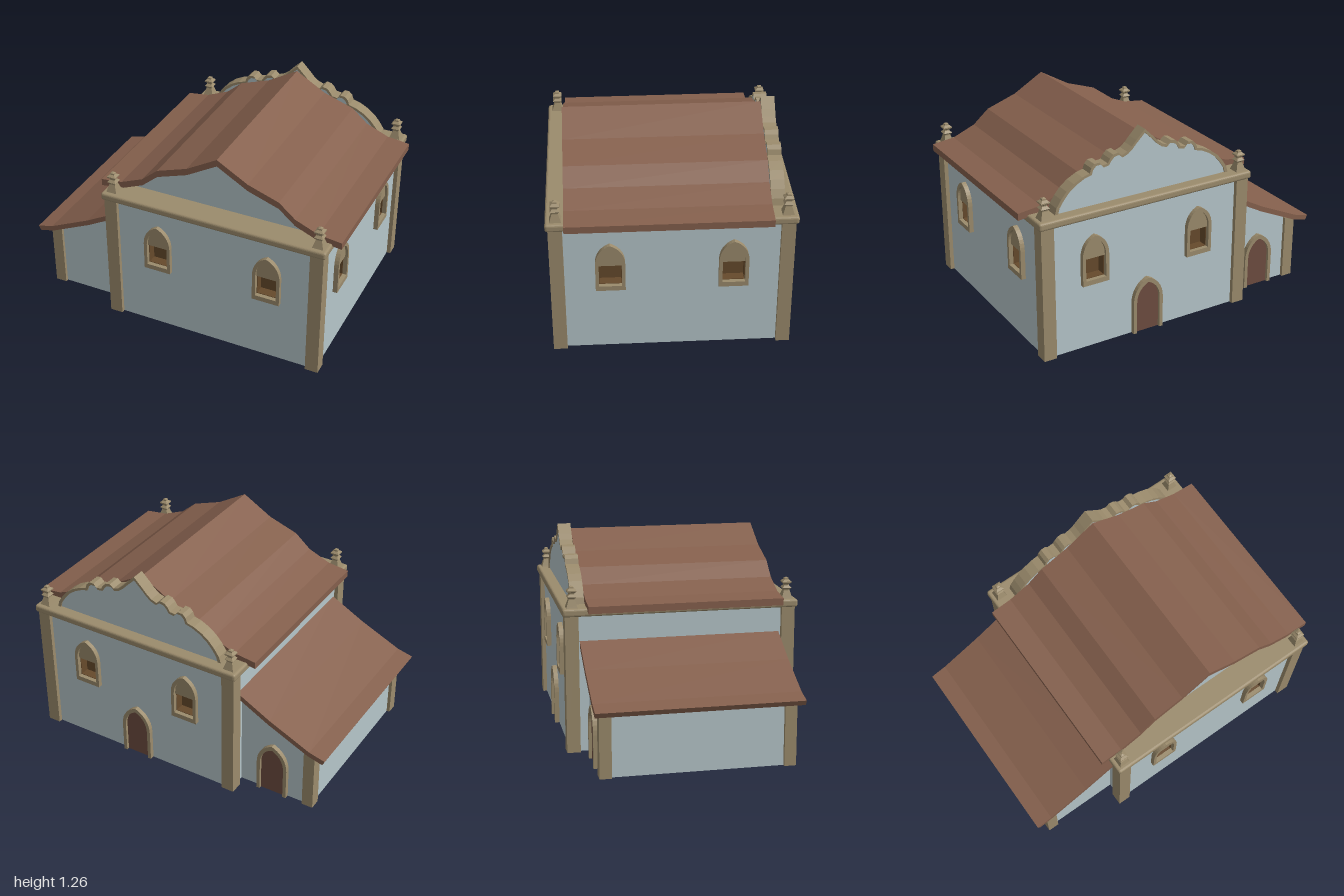
import * as THREE from 'three';
import { RoundedBoxGeometry } from 'three/addons/geometries/RoundedBoxGeometry.js';

const mat = (color) => new THREE.MeshStandardMaterial({ color, flatShading: true });
const WALL = mat(0xb6c6ca), STONE = mat(0x9b8b6c), ROOF = mat(0x85604d);
const WOOD = mat(0x664a2c), DOOR = mat(0x6e4c40);
const CX = 0.24; // centre line of the main building
const EDGE = 0.665, HALF = 0.665; // wall planes, half depth and half width

function add(parent, name, geometry, material, x = 0, y = 0, z = 0) {
  const mesh = new THREE.Mesh(geometry, material);
  mesh.name = name;
  mesh.position.set(x, y, z);
  parent.add(mesh);
  return mesh;
}

const toShape = (pts) => new THREE.Shape(pts.map(([x, y]) => new THREE.Vector2(x, y)));

// Extrusion running from z0 to z1
function extrude(shape, z0, z1) {
  return new THREE.ExtrudeGeometry(shape, { depth: z1 - z0, bevelEnabled: false }).translate(0, 0, z0);
}

const rect = (x0, y0, x1, y1) => [[x0, y0], [x1, y0], [x1, y1], [x0, y1]];

// Slightly pointed arch outline, from the right foot over the apex to the left foot
function archPoints(hw, y0, spring, apex) {
  const h = apex - spring;
  const curve = new THREE.CubicBezierCurve(
    new THREE.Vector2(hw, spring), new THREE.Vector2(hw, spring + h * 0.55),
    new THREE.Vector2(hw * 0.5, apex - h * 0.12), new THREE.Vector2(0, apex));
  const right = curve.getPoints(8).map((p) => [p.x, p.y]);
  const left = right.slice(0, -1).reverse().map(([x, y]) => [-x, y]);
  return [[hw, y0], ...right, ...left, [-hw, y0]];
}

// Window with local z = 0 on the wall surface and its sill at y = 0
function makeWindow() {
  const g = new THREE.Group();
  g.name = 'window';
  const frame = toShape(archPoints(0.085, 0, 0.175, 0.305));
  frame.holes.push(toShape(archPoints(0.065, 0.03, 0.17, 0.28)));
  add(g, 'windowFrame', extrude(frame, -0.005, 0.028), STONE);
  add(g, 'windowArchPanel', extrude(toShape(archPoints(0.066, 0.16, 0.17, 0.281)), -0.01, 0.012), STONE);
  const lining = toShape(rect(-0.065, 0.03, 0.065, 0.16));
  lining.holes.push(toShape(rect(-0.062, 0.033, 0.062, 0.157)));
  add(g, 'windowLining', extrude(lining, -0.059, 0.002), WOOD);
  add(g, 'windowShutter', new THREE.BoxGeometry(0.13, 0.13, 0.006), WOOD, 0, 0.095, -0.056);
  return g;
}

// Door with an arched surround, open at the foot
function makeDoor() {
  const g = new THREE.Group();
  g.name = 'door';
  const outer = archPoints(0.1, 0, 0.2, 0.35);
  const inner = archPoints(0.078, 0, 0.2, 0.322);
  add(g, 'doorFrame', extrude(toShape([...outer, ...inner.slice().reverse()]), -0.005, 0.028), STONE);
  add(g, 'doorLeaf', extrude(toShape(inner), -0.005, 0.01), DOOR);
  return g;
}

// One wall of the main building with its windows; local z = 0 is the outer surface
function makeWall(name, halfWidth, windows) {
  const g = new THREE.Group();
  g.name = name;
  const shape = toShape(rect(-halfWidth, 0, halfWidth, 0.84));
  for (const x of windows) {
    shape.holes.push(toShape(rect(x - 0.065, 0.44, x + 0.065, 0.57)));
    const w = makeWindow();
    w.position.set(x, 0.41, 0);
    g.add(w);
  }
  add(g, name + 'Panel', extrude(shape, -0.06, 0), WALL);
  return g;
}

// Roof sheet of even thickness below its upper line
function roofSheet(top, thickness, z0, z1) {
  const under = top.map(([x, y]) => [x, y - thickness]).reverse();
  return extrude(toShape([...under, ...top]), z0, z1);
}

export function createModel() {
  const model = new THREE.Group();
  model.name = 'chapel';

  // Main walls around a solid core
  add(model, 'core', new THREE.BoxGeometry(1.21, 0.84, 1.21), WALL, CX, 0.42, 0);
  const front = makeWall('frontWall', HALF, [-0.35, 0.35]);
  front.position.set(CX, 0, EDGE);
  const back = makeWall('backWall', HALF, [-0.35, 0.35]);
  back.position.set(CX, 0, -EDGE);
  back.rotation.y = Math.PI;
  const door = makeDoor();
  back.add(door);
  const left = makeWall('leftWall', 0.605, [-0.35, 0.35]);
  left.position.set(CX + HALF, 0, 0);
  left.rotation.y = Math.PI / 2;
  const right = makeWall('rightWall', 0.605, []);
  right.position.set(CX - HALF, 0, 0);
  right.rotation.y = -Math.PI / 2;
  model.add(front, back, left, right);

  // Corner pillars and cornice
  for (const sx of [-1, 1]) for (const sz of [-1, 1])
    add(model, 'cornerPillar', new THREE.BoxGeometry(0.08, 0.83, 0.08), STONE, CX + sx * 0.65, 0.415, sz * 0.65);
  add(model, 'cornice', new RoundedBoxGeometry(1.41, 0.048, 1.41, 2, 0.014), STONE, CX, 0.848, 0);

  // Square finials on the corners
  const profile = [[0.034, 0], [0.03, 0.012], [0.018, 0.05], [0.018, 0.056], [0.027, 0.066], [0.02, 0.074],
    [0.015, 0.08], [0.015, 0.086], [0.027, 0.097], [0.027, 0.104], [0.013, 0.115], [0.012, 0.124], [0, 0.13]];
  const finial = new THREE.LatheGeometry(
    profile.map(([r, y]) => new THREE.Vector2(r * Math.SQRT2, y)), 4).rotateY(Math.PI / 4);
  for (const sx of [-1, 1]) for (const sz of [-1, 1])
    add(model, 'finial', finial, STONE, CX + sx * 0.647, 0.87, sz * 0.645);

  // Main roof with its flared eaves, and the gable beneath it
  const slope = [[0.76, 0.89], [0.62, 0.907], [0.48, 0.965], [0.38, 1.05], [0.19, 1.115]];
  const ridge = [
    ...slope.map(([d, y]) => [CX - d + (d > 0.7 ? 0.005 : 0), y]), [CX, 1.225],
    ...slope.slice().reverse().map(([d, y]) => [CX + d, y])];
  add(model, 'mainRoof', roofSheet(ridge, 0.042, -0.56, 0.6).translate(0, 0.003, 0), ROOF);
  const gable = ridge.slice(1, -1).map(([x, y]) => [x, y - 0.03]).reverse();
  add(model, 'gable', extrude(toShape([[CX - 0.62, 0.86], [CX + 0.62, 0.86], ...gable]), -0.555, 0.55), WALL);

  // Scrolled parapet on the back, edged in stone
  const half = [[0.578, 0.865], [0.565, 0.91], [0.535, 0.955], [0.5, 0.995], [0.455, 1.03], [0.4, 1.058],
    [0.355, 1.07], [0.345, 1.1], [0.325, 1.12], [0.295, 1.122], [0.275, 1.1], [0.24, 1.105], [0.225, 1.13],
    [0.205, 1.15], [0.175, 1.156], [0.15, 1.135], [0.115, 1.148], [0.085, 1.172], [0.055, 1.205]];
  const outline = [...half, [0, 1.26], ...half.slice().reverse().map(([d, y]) => [-d, y])];
  const inset = outline.map(([x, y]) => [x * 0.965, 0.865 + (y - 0.865) * 0.945]);
  const trim = toShape([...outline, ...inset.slice().reverse()]);
  add(model, 'parapetTrim', extrude(trim, -0.64, -0.56), STONE, CX);
  add(model, 'parapet', extrude(toShape(inset), -0.632, -0.561), WALL, CX);

  // Lean-to on the right side
  const leanTop = [[-1, 0.41], [-0.9, 0.435], [-0.64, 0.555], [-0.42, 0.675]];
  const leanWall = [[-0.9, 0], [-0.42, 0], [-0.42, 0.655], [-0.64, 0.535], [-0.9, 0.415]];
  add(model, 'leanToWalls', extrude(toShape(leanWall), -0.55, 0.55), WALL);
  const leanUnder = [[-0.985, 0.38], [-0.89, 0.405], [-0.63, 0.525], [-0.42, 0.64]];
  add(model, 'leanToRoof', extrude(toShape([...leanUnder, ...leanTop.slice().reverse()]), -0.602, 0.598), ROOF);
  for (const sz of [-1, 1])
    add(model, 'leanToPillar', new THREE.BoxGeometry(0.07, 0.41, 0.07), STONE, -0.885, 0.205, sz * 0.535);
  const leanDoor = makeDoor();
  leanDoor.position.set(-0.645, 0, -0.55);
  leanDoor.rotation.y = Math.PI;
  model.add(leanDoor);

  return model;
}
